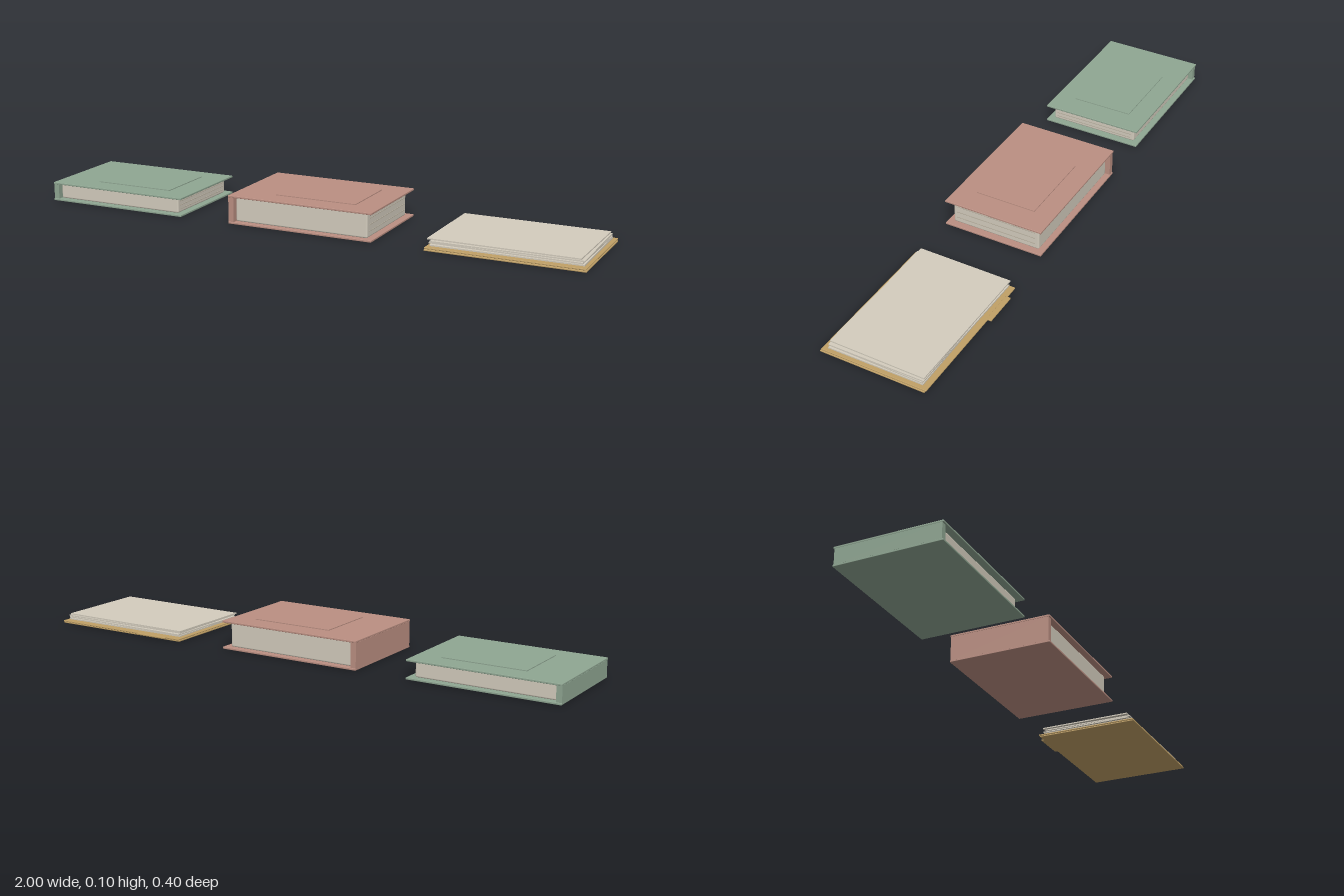
import * as THREE from 'three';
import { RoundedBoxGeometry } from 'three/addons/geometries/RoundedBoxGeometry.js';

const mat = (color) => new THREE.MeshStandardMaterial({ color });
const green = mat(0x8fa692), red = mat(0xbb8f82), paper = mat(0xd3ccbd);
const edge = mat(0xb5ad9d), manila = mat(0xc0a066);

// Box given by its extents [min, max] on each axis; a radius rounds the edges
function slab(parent, name, material, [x0, x1], [y0, y1], [z0, z1], radius = 0) {
  const size = [x1 - x0, y1 - y0, z1 - z0];
  const geometry = radius
    ? new RoundedBoxGeometry(...size, 2, radius)
    : new THREE.BoxGeometry(...size);
  const mesh = new THREE.Mesh(geometry, material);
  mesh.name = name;
  mesh.position.set((x0 + x1) / 2, (y0 + y1) / 2, (z0 + z1) / 2);
  parent.add(mesh);
  return mesh;
}

// Closed hardback lying flat, spine on the -x side
function book(name, x, height, cover, zPad, lines) {
  const g = new THREE.Group();
  g.name = name;
  const t = 0.007, z = [-0.177 - zPad, 0.193 + zPad];
  slab(g, 'backCover', cover, [0, 0.54], [0.001, 0.001 + t], z, 0.0015);
  slab(g, 'frontCover', cover, [0, 0.54], [height - t, height], z, 0.0015);
  slab(g, 'spine', cover, [0, 0.02], [t, height - t], [-0.174, 0.19]);
  slab(g, 'pageBlock', paper, [0.02, 0.517], [t, height - t], [-0.157, 0.173], 0.006);
  slab(g, 'coverPanel', cover, [0.15, 0.45], [height - 0.001, height + 0.003], [-0.103, 0.12]);
  // Page lines on the fore edge
  for (let i = 1; i <= lines; i++) {
    const y = t + (height - 2 * t) * i / (lines + 1);
    slab(g, 'pageLine', edge, [0.51, 0.519], [y - 0.001, y + 0.001], [-0.143, 0.16]);
  }
  g.position.x = x;
  return g;
}

// Folder with a tab on its back edge and a loose stack of sheets
function folder() {
  const g = new THREE.Group();
  g.name = 'folder';
  slab(g, 'folderBack', manila, [0.458, 1], [0, 0.005], [-0.181, 0.198], 0.0015);
  slab(g, 'folderFront', manila, [0.458, 0.998], [0.006, 0.011], [-0.186, 0.195], 0.0015);
  slab(g, 'folderTab', manila, [0.51, 0.635], [0.007, 0.012], [-0.199, -0.18], 0.0015);
  const sheets = [[0.005, 0.004, 0.008], [0.002, 0.001, -0.01], [0.004, 0.003, 0.012], [-0.004, 0, -0.006]];
  sheets.forEach(([dx, dz, turn], i) => {
    const y = 0.013 + i * 0.0064;
    const s = slab(g, 'sheet', paper, [0.465 + dx, 0.981 + dx], [y, y + 0.0045], [-0.169 + dz, 0.173 + dz]);
    s.rotation.y = turn;
  });
  return g;
}

export function createModel() {
  const model = new THREE.Group();
  model.name = 'booksAndFolder';
  model.add(
    book('thinBook', -1, 0.069, green, 0.001, 3),
    book('thickBook', -0.27, 0.102, red, 0, 3),
    folder(),
  );
  return model;
}
